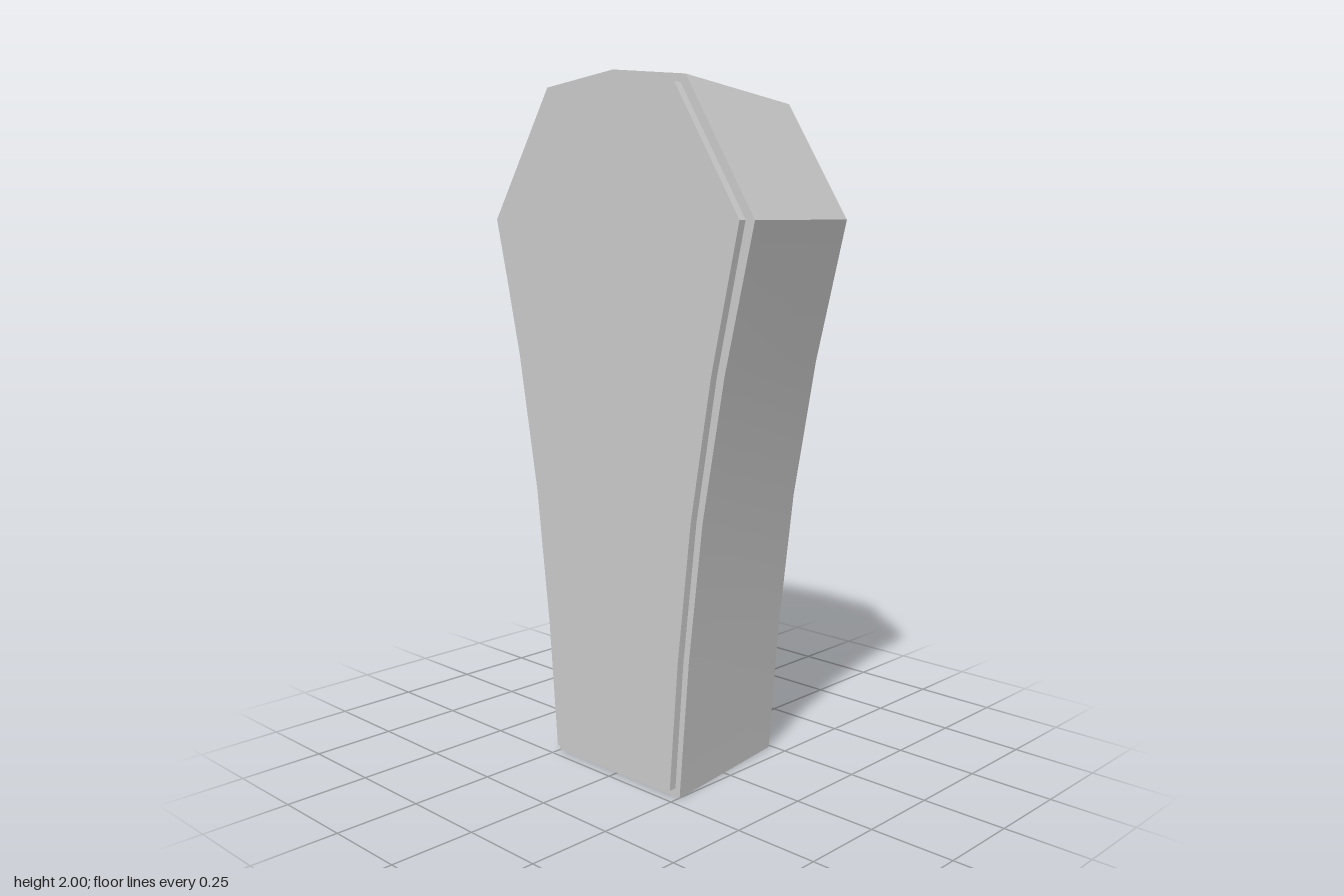
import * as THREE from 'three';
import { toCreasedNormals } from 'three/addons/utils/BufferGeometryUtils.js';

const material = new THREE.MeshStandardMaterial({ color: 0xcccccc });

// Closed counter-clockwise outline from a right-hand half profile (foot to apex)
function outline(half) {
  const right = half.map(([x, y]) => new THREE.Vector2(x, y));
  const left = right.filter(p => p.x > 0).reverse().map(p => new THREE.Vector2(-p.x, p.y));
  return [...right, ...left];
}

// Solid between a back outline and a front outline, with capped ends
function loft(name, backHalf, frontHalf, zBack, zFront) {
  const back = outline(backHalf), front = outline(frontHalf), n = front.length;
  const positions = [...back.flatMap(p => [p.x, p.y, zBack]), ...front.flatMap(p => [p.x, p.y, zFront])];
  const index = [];
  for (let i = 0; i < n; i++) {
    const j = (i + 1) % n;
    index.push(i, j, n + j, i, n + j, n + i);
  }
  for (const [a, b, c] of THREE.ShapeUtils.triangulateShape(front, [])) index.push(n + a, n + b, n + c);
  for (const [a, b, c] of THREE.ShapeUtils.triangulateShape(back, [])) index.push(c, b, a);
  const geometry = new THREE.BufferGeometry();
  geometry.setAttribute('position', new THREE.Float32BufferAttribute(positions, 3));
  geometry.setIndex(index);
  const mesh = new THREE.Mesh(toCreasedNormals(geometry, Math.PI / 6), material);
  mesh.name = name;
  return mesh;
}

export function createModel() {
  const group = new THREE.Group();
  group.name = 'coffin';

  // Half profiles: foot, curved side, shoulder, head corner, apex
  const rim = [[0.252, 0], [0.286, 0.4], [0.335, 0.8], [0.41, 1.2], [0.508, 1.6], [0.27, 1.97], [0, 2]];
  const base = [[0.194, 0], [0.228, 0.4], [0.277, 0.8], [0.351, 1.2], [0.45, 1.6], [0.24, 1.922], [0, 1.95]];
  const panel = [[0.236, 0.025], [0.266, 0.4], [0.313, 0.8], [0.384, 1.2], [0.477, 1.6], [0.252, 1.95], [0, 1.98]];

  // Body tapering towards the back
  group.add(loft('body', base, rim, -0.24, 0.217));
  // Thin raised lid on the front
  group.add(loft('lid', panel, panel, 0.217, 0.24));
  return group;
}
